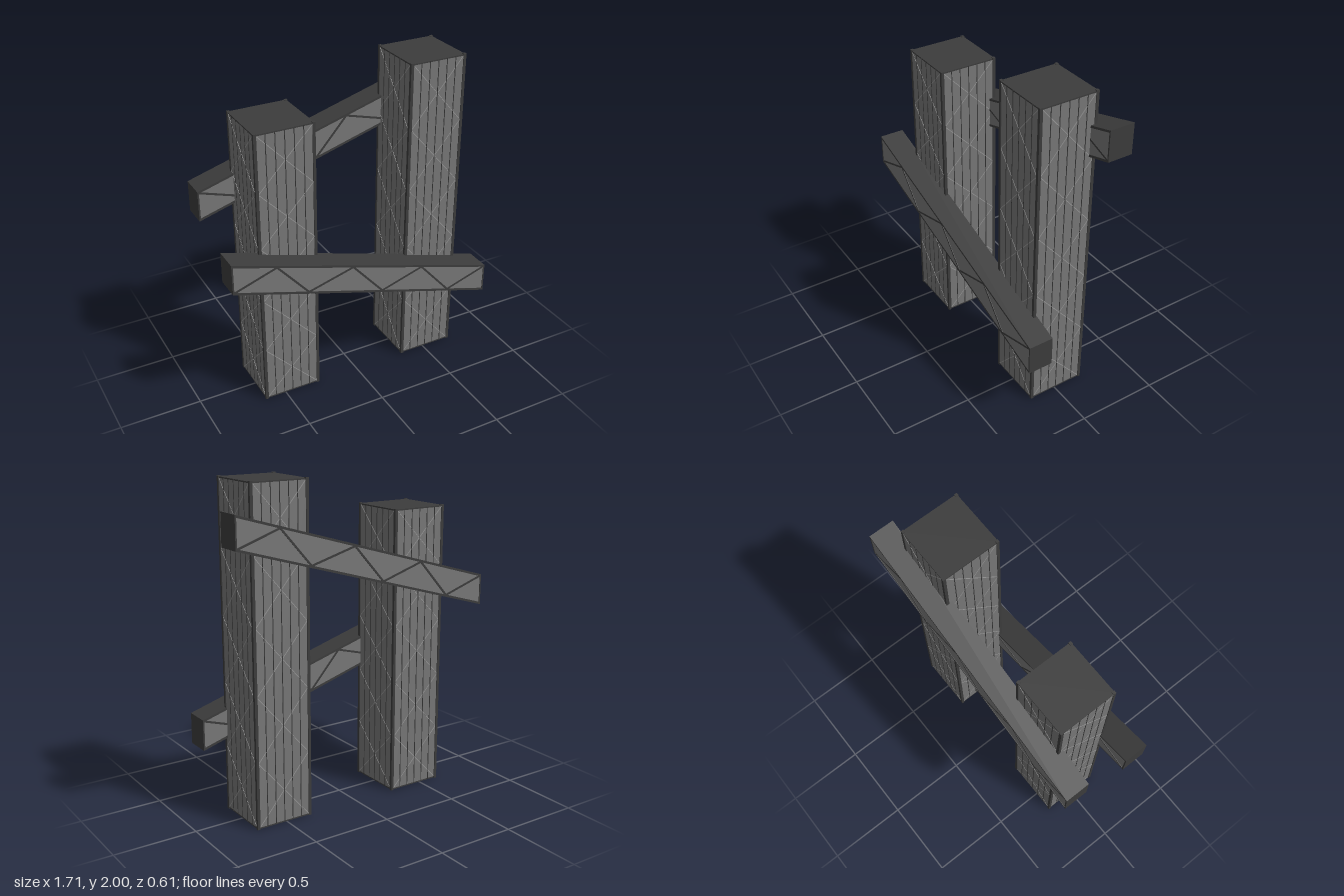
import * as THREE from 'three';

const panelMat = new THREE.MeshStandardMaterial({ color: 0x777777 });
const frameMat = new THREE.MeshStandardMaterial({ color: 0x3c3c3c });
const braceMat = new THREE.MeshStandardMaterial({ color: 0x999999 });

function box(name, parent, mat, w, h, d, x, y, z) {
  const mesh = new THREE.Mesh(new THREE.BoxGeometry(w, h, d), mat);
  mesh.name = name;
  mesh.position.set(x, y, z);
  parent.add(mesh);
  return mesh;
}

// Thin straight bar between two points in the xy plane
function bar(name, parent, mat, a, b, width, depth, z) {
  const dx = b[0] - a[0], dy = b[1] - a[1];
  const mesh = box(name, parent, mat, Math.hypot(dx, dy), width, depth,
    (a[0] + b[0]) / 2, (a[1] + b[1]) / 2, z);
  mesh.rotation.z = Math.atan2(dy, dx);
}

// Square tower standing on the ground, the same on all four sides
function tower(name, x, height) {
  const g = new THREE.Group();
  g.name = name;
  g.position.set(x, 0, -0.008);
  const half = 0.18;
  box('towerCore', g, panelMat, half * 2, height - 0.02, half * 2, 0, height / 2, 0);
  for (const y of [0.007, height - 0.008])
    box('endPlate', g, frameMat, half * 2 + 0.002, 0.008, half * 2 + 0.002, 0, y, 0);
  for (const sx of [-1, 1]) for (const sz of [-1, 1])
    box('cornerPost', g, frameMat, 0.018, height, 0.018, sx * 0.175, height / 2, sz * 0.175);

  for (let side = 0; side < 4; side++) {
    const face = new THREE.Group();
    face.name = 'towerFace';
    face.rotation.y = side * Math.PI / 2;
    // Vertical ribs
    for (let i = -2; i <= 2; i++)
      box('rib', face, frameMat, 0.005, height - 0.01, 0.004, i * 0.057, height / 2, half);
    // Fine crossed braces
    const cells = 5, step = (height - 0.02) / cells;
    for (let i = 0; i < cells; i++) {
      const y0 = 0.01 + i * step, y1 = y0 + step;
      bar('crossBrace', face, braceMat, [-0.168, y0], [0.168, y1], 0.004, 0.003, half);
      bar('crossBrace', face, braceMat, [-0.168, y1], [0.168, y0], 0.004, 0.003, half);
    }
    g.add(face);
  }
  return g;
}

// Sloping truss beam with upright ends
const END = 0.855, SLOPE = -0.296;
const edge = (x, v) => [x, 0.76 + SLOPE * x + v];
const outline = (e, v) =>
  [edge(-e, -v), edge(e, -v), edge(e, v), edge(-e, v)].map(p => new THREE.Vector2(...p));

function slab(name, parent, mat, shape, depth) {
  const geo = new THREE.ExtrudeGeometry(shape, { depth, bevelEnabled: false });
  geo.translate(0, 0, -depth / 2);
  const mesh = new THREE.Mesh(geo, mat);
  mesh.name = name;
  parent.add(mesh);
}

function beam(name) {
  const g = new THREE.Group();
  g.name = name;
  const depth = 0.155;
  // Dark shell around the panels
  const shell = new THREE.Shape(outline(END, 0.095));
  shell.holes.push(new THREE.Path(outline(END - 0.009, 0.081).reverse()));
  slab('beamFrame', g, frameMat, shell, depth);
  slab('beamPanel', g, panelMat, new THREE.Shape(outline(END - 0.006, 0.084)), depth - 0.006);
  // Zigzag bracing on both faces
  const xs = [-0.845, -0.585, -0.39, -0.1, 0.1, 0.375, 0.575, 0.845];
  const points = xs.map((x, i) => edge(x, i % 2 ? 0.083 : -0.083));
  for (const s of [-1, 1])
    for (let i = 0; i < points.length - 1; i++)
      bar('diagonal', g, frameMat, points[i], points[i + 1], 0.012, 0.005, s * (depth / 2 - 0.0028));
  return g;
}

export function createModel() {
  const model = new THREE.Group();
  model.name = 'twinTowersWithBeams';
  model.add(tower('shortTower', -0.452, 1.78), tower('tallTower', 0.516, 2));

  const front = beam('frontBeam');
  front.position.z = 0.229;
  // The rear beam is the front one turned about and raised
  const back = beam('backBeam');
  back.rotation.y = Math.PI;
  back.position.set(0, 0.742, -0.229);
  model.add(front, back);
  return model;
}
